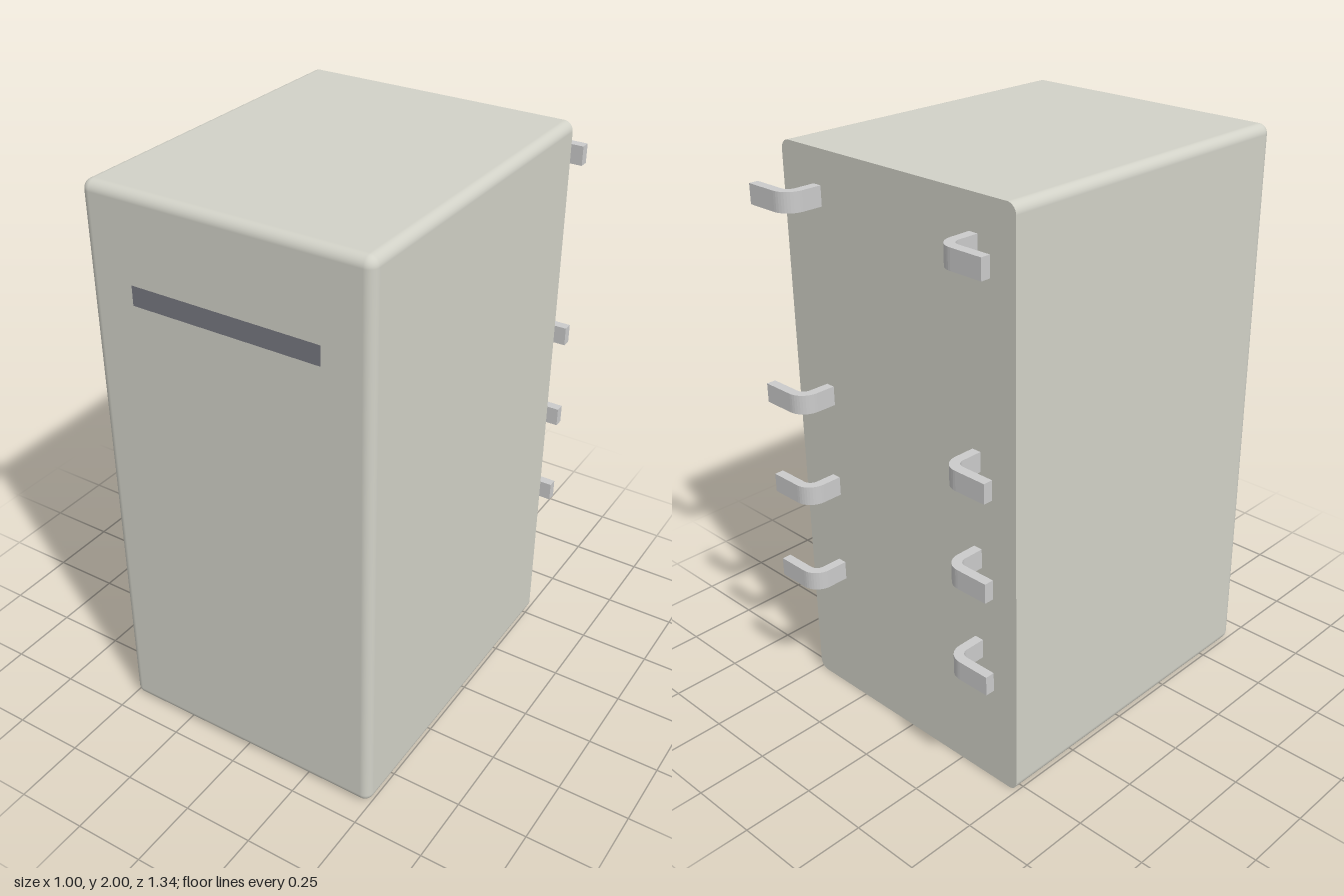
import * as THREE from 'three';

const W = 0.5, H = 2, FRONT = 0.667, BACK = -0.533, R = 0.033;
const mat = (color) => new THREE.MeshStandardMaterial({ color });

// Cabinet shell: rounded long edges and front rim, square-cut back
function cabinetGeometry() {
  const steps = 8, pos = [], nor = [], idx = [];
  const dirs = [];
  for (let c = 0; c < 4; c++) {
    for (let s = 0; s <= steps; s++) {
      const t = (c + s / steps) * Math.PI / 2;
      const sx = c === 0 || c === 3 ? 1 : -1, sy = c < 2 ? 1 : -1;
      dirs.push({ x: Math.cos(t), y: Math.sin(t), cx: sx * (W - R), cy: H / 2 + sy * (H / 2 - R) });
    }
  }
  const n = dirs.length;
  const ring = (r, z, normal) => {
    for (const d of dirs) {
      pos.push(d.cx + d.x * r, d.cy + d.y * r, z);
      nor.push(...normal(d));
    }
    return pos.length / 3 - n;
  };
  // back edge, then the rounded front rim
  const side = (a) => (d) => [d.x * Math.cos(a), d.y * Math.cos(a), Math.sin(a)];
  let prev = ring(R, BACK, side(0));
  for (let k = 0; k <= steps; k++) {
    const a = k / steps * Math.PI / 2;
    const cur = ring(R * Math.cos(a), FRONT - R + R * Math.sin(a), side(a));
    for (let j = 0; j < n; j++) {
      const q = (j + 1) % n;
      idx.push(prev + j, prev + q, cur + q, prev + j, cur + q, cur + j);
    }
    prev = cur;
  }
  // flat front and back panels
  const cap = (r, z, s) => {
    const start = ring(r, z, () => [0, 0, s]);
    const mid = pos.push(0, H / 2, z) / 3 - 1;
    nor.push(0, 0, s);
    for (let j = 0; j < n; j++) {
      const q = (j + 1) % n;
      idx.push(mid, start + (s > 0 ? j : q), start + (s > 0 ? q : j));
    }
  };
  cap(0, FRONT, 1);
  cap(R, BACK, -1);
  const g = new THREE.BufferGeometry();
  g.setAttribute('position', new THREE.Float32BufferAttribute(pos, 3));
  g.setAttribute('normal', new THREE.Float32BufferAttribute(nor, 3));
  g.setIndex(idx);
  return g;
}

// Bent flat bracket: runs back from the cabinet, then turns outwards
function bracketGeometry(side) {
  const x0 = 0.321, t = 0.033, outer = 0.062, height = 0.067;
  const depth = FRONT, cx = x0 + outer, cz = depth - outer;
  const s = new THREE.Shape(); // drawn with y = distance behind centre
  s.moveTo(side * x0, -BACK);
  const arc = (r, from, to) => {
    for (let i = 0; i <= 10; i++) {
      const a = from + (to - from) * i / 10;
      s.lineTo(side * (cx + r * Math.cos(a)), cz + r * Math.sin(a));
    }
  };
  arc(outer, Math.PI, Math.PI / 2);
  s.lineTo(side * 0.5, depth);
  s.lineTo(side * 0.5, depth - t);
  arc(outer - t, Math.PI / 2, Math.PI);
  s.lineTo(side * (x0 + t), -BACK);
  s.closePath();
  const g = new THREE.ExtrudeGeometry(s, { depth: height, bevelEnabled: false });
  g.translate(0, 0, -height / 2);
  g.rotateX(-Math.PI / 2);
  return g;
}

export function createModel() {
  const model = new THREE.Group();
  model.name = 'cabinet';

  const body = new THREE.Mesh(cabinetGeometry(), mat(0xd2d2c8));
  body.name = 'body';
  model.add(body);

  // Dark strip on the front panel
  const strip = new THREE.Mesh(new THREE.PlaneGeometry(0.667, 0.067), mat(0x777880));
  strip.name = 'frontStrip';
  strip.position.set(0, 1.67, FRONT + 0.001);
  model.add(strip);

  // Cable brackets in two columns on the back
  const metal = mat(0xcccccc);
  for (const side of [-1, 1]) {
    const geometry = bracketGeometry(side);
    [0.5, 0.837, 1.175, 1.851].forEach((y, i) => {
      const bracket = new THREE.Mesh(geometry, metal);
      bracket.name = `${side > 0 ? 'left' : 'right'}Bracket${i + 1}`;
      bracket.position.y = y;
      model.add(bracket);
    });
  }
  return model;
}
